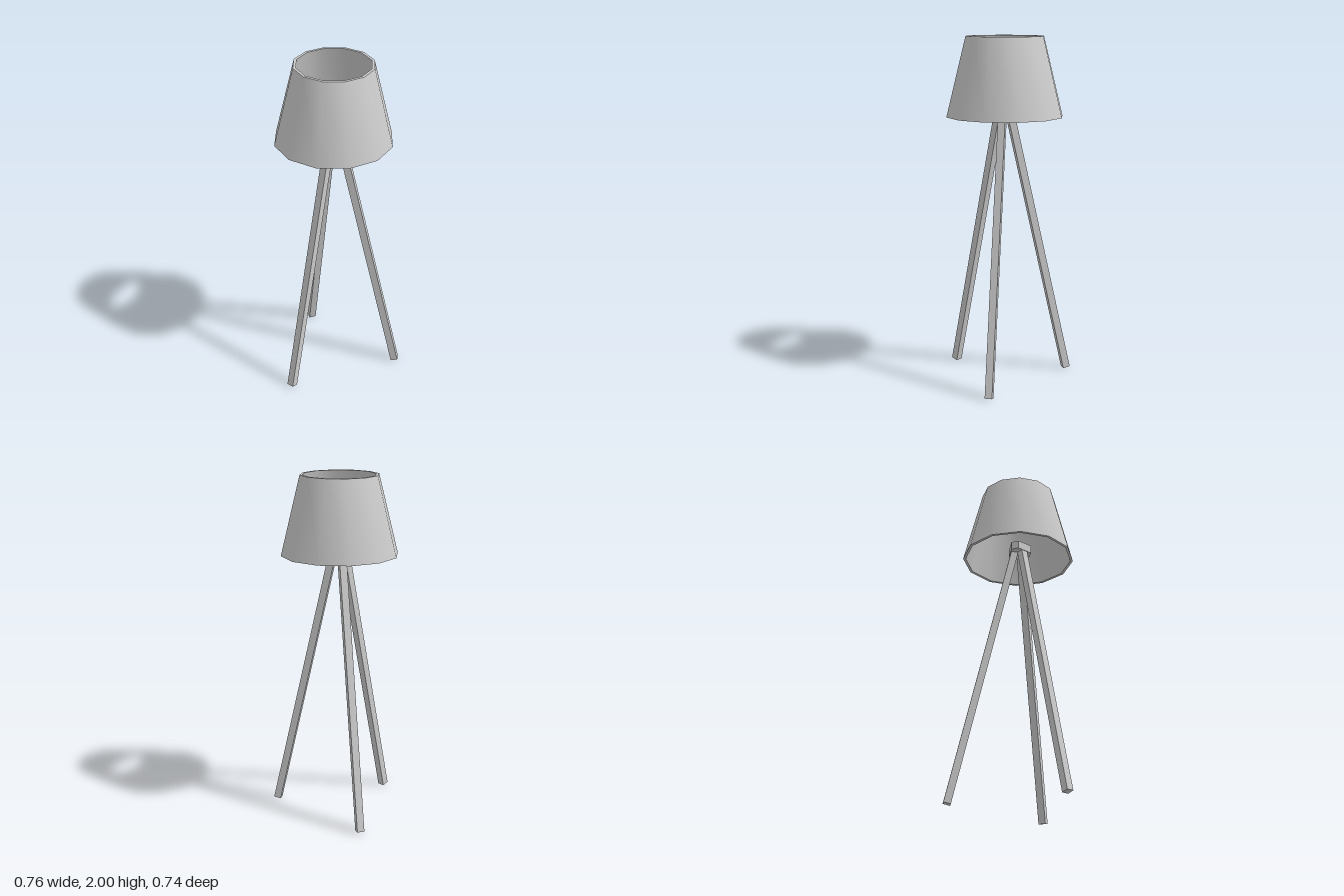
import * as THREE from 'three';
import { toCreasedNormals } from 'three/addons/utils/BufferGeometryUtils.js';

export function createModel() {
  const model = new THREE.Group();
  model.name = 'tripodLamp';
  const grey = new THREE.MeshStandardMaterial({ color: 0xcccccc });

  const add = (parent, name, geometry) => {
    const mesh = new THREE.Mesh(geometry, grey);
    mesh.name = name;
    parent.add(mesh);
    return mesh;
  };

  // Shade: thin-walled, twelve-sided open cone, smooth around and sharp at the rims
  const profile = [
    [0.32, 1.55], [0.336, 1.55], [0.224, 2], [0.208, 2], [0.32, 1.55],
  ].map(([r, y]) => new THREE.Vector2(r, y));
  const shade = add(model, 'shade', toCreasedNormals(new THREE.LatheGeometry(profile, 12), 0.7));
  shade.position.set(0.04, 0, 0.018);

  // Tripod stand
  const stand = new THREE.Group();
  stand.name = 'stand';
  stand.position.set(0.036, 0, 0.023);
  model.add(stand);
  const angles = [53, 173, 293].map(THREE.MathUtils.degToRad);

  // Hub: triangular block with cut corners, one long side facing each leg
  const corners = angles.flatMap((a) => [-0.049, 0.049].map((t) => new THREE.Vector2(
    0.055 * Math.cos(a) - t * Math.sin(a),
    0.055 * Math.sin(a) + t * Math.cos(a),
  )));
  const hubGeometry = new THREE.ExtrudeGeometry(new THREE.Shape(corners), { depth: 0.05, bevelEnabled: false });
  hubGeometry.rotateX(Math.PI / 2);
  add(stand, 'hub', hubGeometry).position.y = 1.642;

  // Legs: square bars splayed outward from the hub
  const foot = new THREE.Vector2(0.396, 0.005);
  const top = new THREE.Vector2(0.026, 1.61);
  const tilt = Math.atan2(foot.x - top.x, top.y - foot.y);
  angles.forEach((a, i) => {
    const leg = new THREE.Group();
    leg.name = `leg${i + 1}`;
    leg.rotation.y = -a;
    stand.add(leg);
    const bar = add(leg, 'legBar', new THREE.BoxGeometry(0.042, foot.distanceTo(top), 0.042));
    bar.position.set((foot.x + top.x) / 2, (foot.y + top.y) / 2, 0);
    bar.rotation.z = tilt;
  });

  return model;
}
